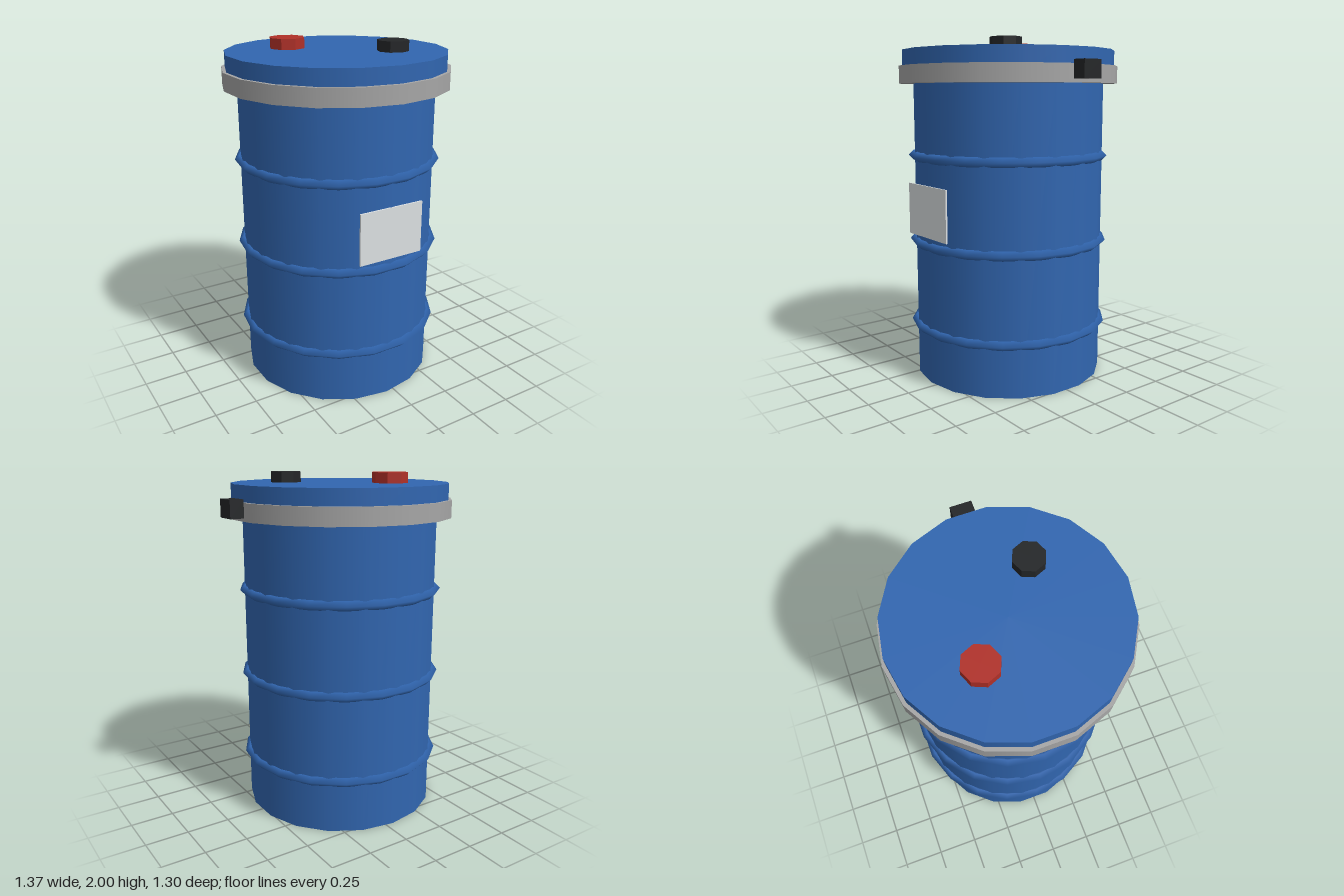
import * as THREE from 'three';

const SIDES = 18;
const AXIS_X = -0.047; // drum axis sits left of centre because the clamp latch sticks out

const paint = (color, flatShading = false) => new THREE.MeshStandardMaterial({ color, flatShading });

export function createModel() {
  const model = new THREE.Group();
  model.name = 'drum';

  const blue = paint(0x3166b0);
  const steel = paint(0xa6a6a6);
  const black = paint(0x242628, true);
  const red = paint(0xb03028, true);
  const white = paint(0xdde1e3);

  const add = (name, geometry, material, x, y, z) => {
    const mesh = new THREE.Mesh(geometry, material);
    mesh.name = name;
    mesh.position.set(x, y, z);
    model.add(mesh);
    return mesh;
  };

  // Upright closed cylinder between two heights
  const cylinder = (name, radius, y0, y1, sides, material, x = AXIS_X, z = 0) =>
    add(name, new THREE.CylinderGeometry(radius, radius, y1 - y0, sides), material, x, (y0 + y1) / 2, z);

  // Barrel, lid and clamp ring
  cylinder('body', 0.57, 0, 1.8, SIDES, blue);
  cylinder('clampRing', 0.652, 1.75, 1.85, SIDES, steel);
  cylinder('lid', 0.632, 1.8, 1.94, SIDES, blue);

  // Rolling hoops with a diamond section
  [0.31, 0.82, 1.33].forEach((y, i) => {
    const hoop = add(`hoop${i + 1}`, new THREE.TorusGeometry(0.572, 0.028, 4, SIDES), blue, AXIS_X, y, 0);
    hoop.rotation.x = Math.PI / 2;
  });

  // Bung caps on the lid
  cylinder('largeBung', 0.103, 1.93, 2, 8, red, -0.25, -0.21);
  cylinder('smallBung', 0.09, 1.93, 2, 8, black, 0.2, 0.2);

  // Clamp latch and front label
  add('latch', new THREE.BoxGeometry(0.08, 0.1, 0.12), black, 0.645, 1.82, 0);
  add('label', new THREE.BoxGeometry(0.402, 0.3, 0.01), white, AXIS_X, 1.025, 0.572);

  return model;
}
